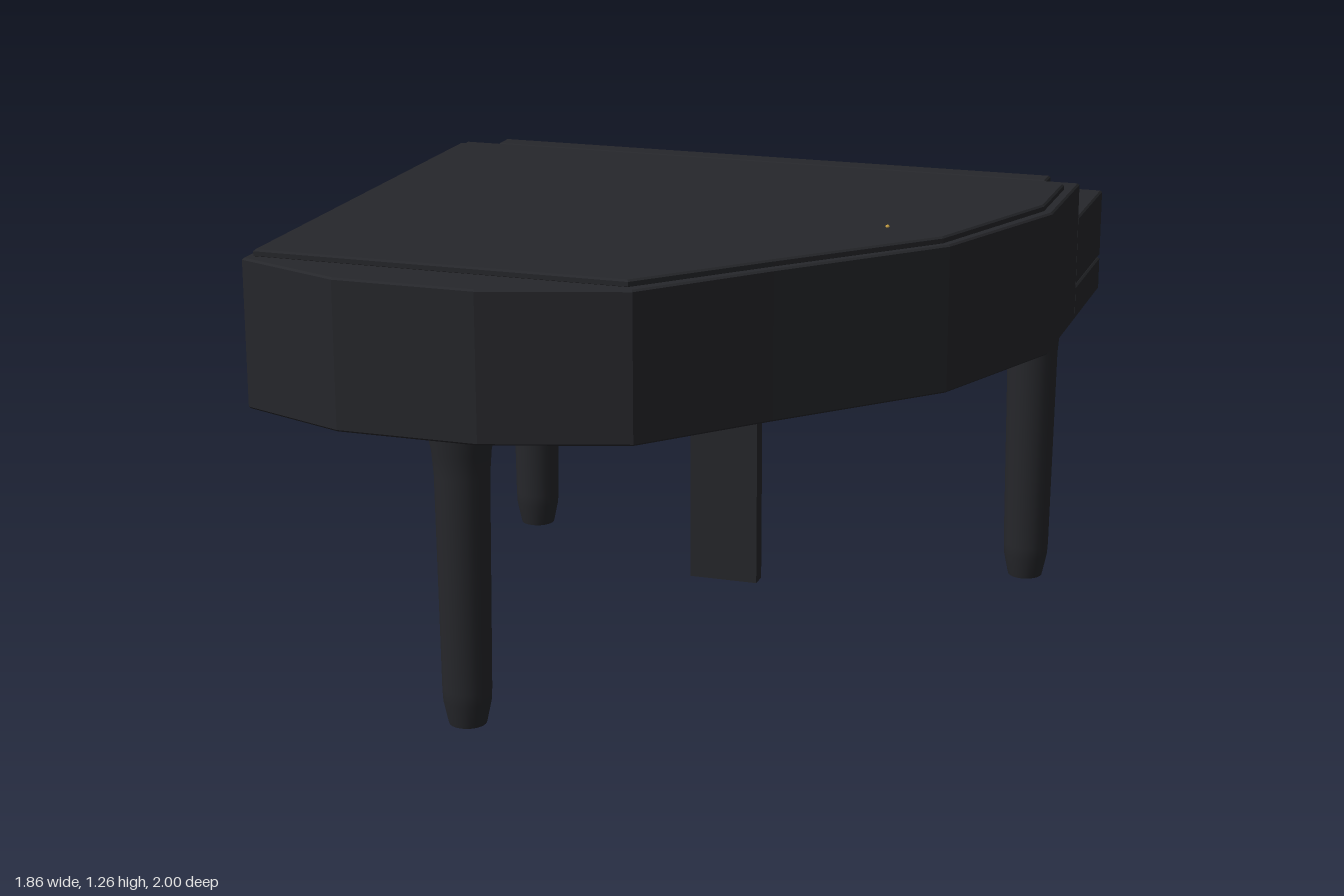
import * as THREE from 'three';

const ebony = new THREE.MeshStandardMaterial({ color: 0x26272b });
const ivory = new THREE.MeshStandardMaterial({ color: 0xc8c8c0 });
const black = new THREE.MeshStandardMaterial({ color: 0x141416 });
const gold = new THREE.MeshStandardMaterial({ color: 0xc09a40 });

export function createModel() {
  const group = new THREE.Group();

  function add(name, geometry, material = ebony) {
    const mesh = new THREE.Mesh(geometry, material);
    mesh.name = name;
    group.add(mesh);
    return mesh;
  }

  // Horizontal slab with softened edges, from an outline of [x, z] points
  function slab(name, outline, y0, y1, bevel = 0.005, material = ebony) {
    const shape = new THREE.Shape(outline.map(([x, z]) => new THREE.Vector2(x, -z)));
    const geometry = new THREE.ExtrudeGeometry(shape, {
      depth: y1 - y0 - 2 * bevel,
      bevelThickness: bevel, bevelSize: bevel, bevelOffset: -bevel, bevelSegments: 1,
    });
    geometry.rotateX(-Math.PI / 2).translate(0, y0 + bevel, 0);
    return add(name, geometry, material);
  }

  const rect = (x0, x1, z0, z1) => [[x0, z0], [x0, z1], [x1, z1], [x1, z0]];

  function box(name, x0, x1, y0, y1, z0, z1, material = ebony) {
    const geometry = new THREE.BoxGeometry(x1 - x0, y1 - y0, z1 - z0);
    return add(name, geometry.translate((x0 + x1) / 2, (y0 + y1) / 2, (z0 + z1) / 2), material);
  }

  // Case with faceted curved side, and the closed lid on it
  slab('case', [
    [-0.93, -0.632], [-0.93, 0.88], [-0.63, 0.995], [-0.25, 0.995],
    [0.12, 0.88], [0.39, 0.575], [0.75, 0.19], [0.93, -0.25], [0.93, -0.632],
  ], 0.84, 1.24);
  slab('lid', [
    [-0.91, -0.53], [-0.91, 0.855], [0.1, 0.855], [0.38, 0.55],
    [0.73, 0.18], [0.905, -0.26], [0.905, -0.53],
  ], 1.236, 1.258);
  add('lidKnob', new THREE.SphereGeometry(0.006, 10, 8).translate(0.565, 0.12 + 1.138, 0.12), gold);

  // Keyboard housing
  slab('keybed', rect(-0.93, 0.93, -1, -0.636), 0.84, 0.938);
  slab('fallboard', rect(-0.832, 0.832, -0.705, -0.636), 0.938, 1.24);
  for (const s of [-1, 1]) {
    const inner = s * 0.838, outer = s * 0.93;
    slab('keyblock', rect(Math.min(inner, outer), Math.max(inner, outer), -1, -0.636), 0.942, 1.14);
  }

  // White keys as one bed, black keys in groups of two and three
  box('whiteKeys', -0.812, 0.808, 0.935, 0.96, -0.963, -0.7, ivory);
  for (let i = 0; i < 36; i++) {
    if (i % 7 === 2 || i % 7 === 6) continue;
    const x = -0.782 + i * 0.0443;
    box('blackKey', x - 0.008, x + 0.008, 0.945, 0.975, -0.964, -0.788, black);
  }

  // Three turned legs: flared top, tapered shaft and foot
  const profile = [
    [0, 0], [0.05, 0], [0.052, 0.008], [0.064, 0.065], [0.066, 0.1],
    [0.073, 0.69], [0.078, 0.755], [0.086, 0.8], [0.087, 0.845],
  ].map(([r, y]) => new THREE.Vector2(r, y));
  const foot = new THREE.LatheGeometry(profile.slice(0, 2), 24);
  const shaft = new THREE.LatheGeometry(profile.slice(1), 24);
  for (const [name, x, z] of [
    ['keyboardLegLeft', 0.782, -0.785],
    ['keyboardLegRight', -0.782, -0.785],
    ['tailLeg', -0.38, 0.785],
  ]) {
    const leg = new THREE.Group();
    leg.name = name;
    leg.add(new THREE.Mesh(shaft, ebony), new THREE.Mesh(foot, ebony));
    leg.position.set(x, 0, z);
    group.add(leg);
  }

  // Pedal support panel
  box('pedalSupport', -0.1, 0.1, 0.078, 0.845, -0.3, -0.25);

  return group;
}
